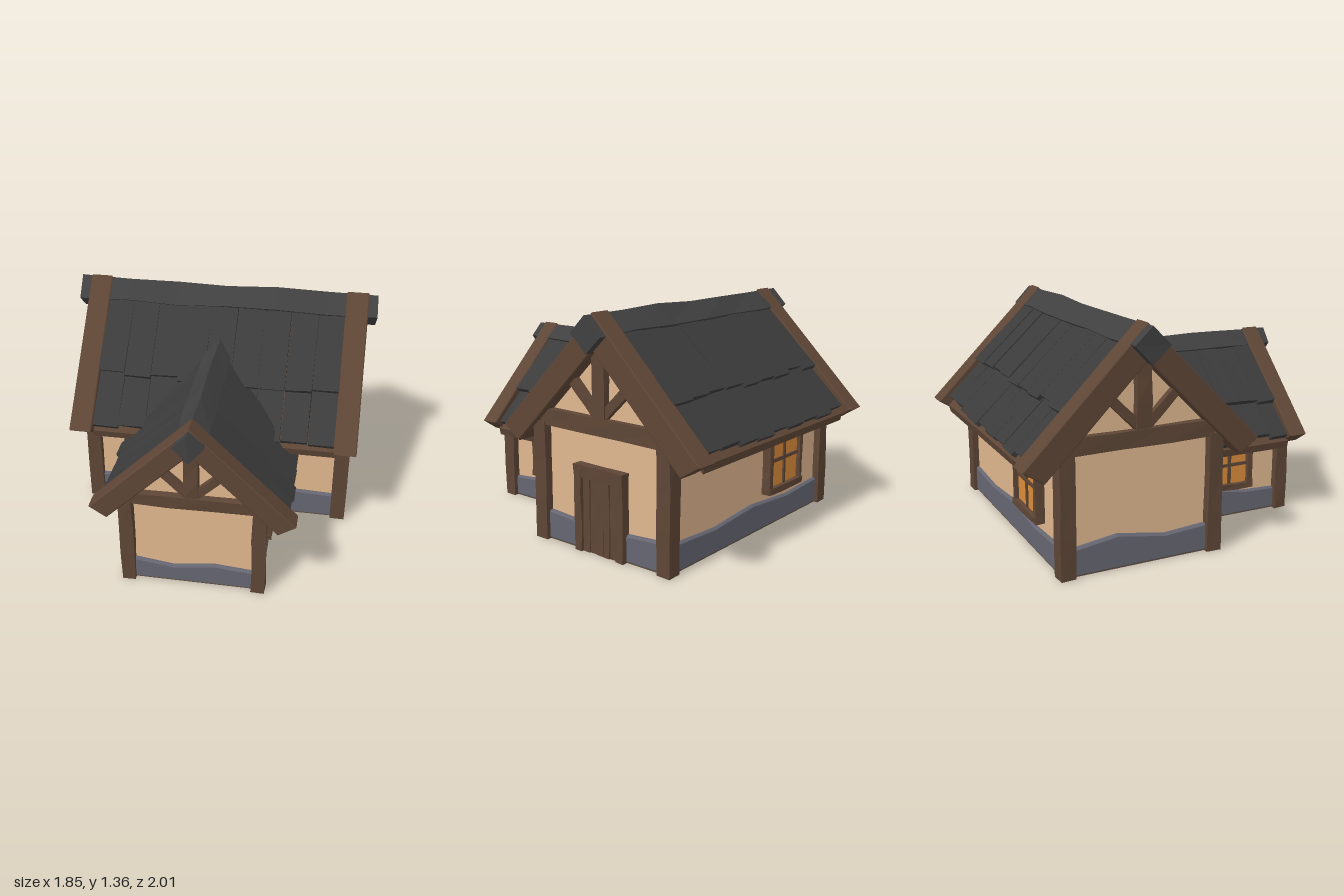
import * as THREE from 'three';

const mat = (color, side = THREE.FrontSide) => new THREE.MeshStandardMaterial({ color, flatShading: true, side });
const wood = mat(0x5e4636), plaster = mat(0xe0b78f), stone = mat(0x666672);
const slate = mat(0x3b3b3b), ridgeSlate = mat(0x404040), glass = mat(0xdc8c3a), earth = mat(0x635040);

let seed = 7;
const rand = () => { seed = (seed * 16807) % 2147483647; return seed / 2147483647 - 0.5; };

function add(parent, name, geometry, material, x = 0, y = 0, z = 0) {
  const mesh = new THREE.Mesh(geometry, material);
  mesh.name = name;
  mesh.position.set(x, y, z);
  parent.add(mesh);
  return mesh;
}

// Box with extra cuts along its longest side and slightly uneven corners
function hewn(w, h, d, rough = 0.008, cuts = 3) {
  const m = Math.max(w, h, d);
  const g = new THREE.BoxGeometry(w, h, d, w === m ? cuts : 1, h === m ? cuts : 1, d === m ? cuts : 1);
  const p = g.attributes.position, moved = new Map();
  for (let i = 0; i < p.count; i++) {
    const key = [p.getX(i), p.getY(i), p.getZ(i)].map(v => v.toFixed(3)).join();
    if (!moved.has(key)) moved.set(key, [rand() * rough, rand() * rough, rand() * rough]);
    const [a, b, c] = moved.get(key);
    // upright posts keep their foot on the ground
    const dy = h === m && p.getY(i) < -h / 2 + 1e-4 ? 0 : b;
    p.setXYZ(i, p.getX(i) + a, p.getY(i) + dy, p.getZ(i) + c);
  }
  g.computeVertexNormals();
  return g;
}

// Extruded outline, starting at z = 0
function slab(points, depth, bevel = 0) {
  const shape = new THREE.Shape(points.map(([x, y]) => new THREE.Vector2(x, y)));
  return new THREE.ExtrudeGeometry(shape, {
    depth: depth - 2 * bevel, bevelEnabled: bevel > 0, bevelSize: bevel, bevelThickness: bevel, bevelSegments: 1
  }).translate(0, 0, bevel);
}

// Inverted V with 45 degree sides; the lower ends are cut between the two half widths
const chevron = (apex, half, thick, innerHalf, depth, bevel) => slab([
  [0, apex], [-half, apex - half], [-innerHalf, apex - thick - innerHalf],
  [0, apex - thick], [innerHalf, apex - thick - innerHalf], [half, apex - half]
], depth, bevel);

// Timber gable end facing +z
function gableFrame(o) {
  const g = new THREE.Group();
  g.name = 'gableFrame';
  add(g, 'rafters', chevron(o.apex, o.half, o.thick, o.innerHalf, o.rafterDepth, 0.006), wood, 0, 0, o.z - 0.055);
  add(g, 'tieBeam', hewn(o.tieHalf * 2, o.tieH, o.w * 0.95), wood, 0, o.tieY + o.tieH / 2, o.z);
  const top = o.apex - o.thick + 0.04, base = o.tieY + o.tieH;
  add(g, 'kingPost', hewn(o.w, top - base, o.w * 0.85), wood, 0, (top + base) / 2, o.z);
  for (const s of [-1, 1]) {
    add(g, 'cornerPost', hewn(o.w, o.tieY + 0.02, o.w), wood, s * o.postX, (o.tieY + 0.02) / 2, o.z);
    const brace = add(g, 'brace', hewn(o.braceLen, o.w * 0.6, o.w * 0.7, 0.004), wood,
      s * o.braceLen * 0.42, base + o.braceLen * 0.38, o.z);
    brace.rotation.z = s * Math.PI / 4;
  }
  return g;
}

// Roof along z: deck, two courses of slates on each side, and a ridge
function roof(o) {
  const g = new THREE.Group();
  g.name = 'roof';
  add(g, 'roofDeck', chevron(o.apex - 0.085, o.eave - 0.02, 0.055, o.eave - 0.03, o.z1 - o.z0), wood, 0, 0, o.z0);
  const width = (o.z1 - o.z0) / o.columns;
  for (const s of [-1, 1]) for (let i = 0; i < o.columns; i++) {
    const z = o.z0 + (i + 0.5) * width;
    for (const [from, to, lift] of [[0.03, o.split, -0.02], [o.split - 0.04, o.eave, -0.042]]) {
      if (lift < -0.03 && z < (o.lowerFrom ?? -9)) continue;
      const a = from, b = to + rand() * 0.025, mid = (a + b) / 2;
      const off = (lift + rand() * 0.006) * Math.SQRT1_2;
      const tile = add(g, 'slate', hewn((b - a) * Math.SQRT2, 0.032, width * 0.985, 0.008, 1), slate,
        s * (mid + off), o.apex - mid + off, z);
      tile.rotation.z = -s * (Math.PI / 4 - 0.035);
    }
  }
  const ridge = add(g, 'ridge', hewn(o.ridge, o.ridge, o.ridgeTo - o.ridgeFrom, 0.014, 6), ridgeSlate,
    0, o.apex - o.ridge * Math.SQRT1_2, (o.ridgeFrom + o.ridgeTo) / 2);
  ridge.rotation.z = Math.PI / 4;
  return g;
}

// House-shaped plaster body along z
const body = (half, apex, depth) => slab([
  [-half, 0.005], [half, 0.005], [half, apex - half], [0, apex], [-half, apex - half]
], depth);

// Stone footing with a wavy, chamfered top, facing +z
function footing(length, heights) {
  const b = 0.012, n = heights.length - 1;
  const top = heights.map((h, i) => [length * (i / n - 0.5), h - b]).reverse();
  return slab([[-length / 2, b], [length / 2, b], ...top], 0.05, b);
}

// Four-pane window facing +z
function makeWindow(w, h) {
  const g = new THREE.Group(), t = 0.036;
  g.name = 'window';
  add(g, 'panes', new THREE.BoxGeometry(w - t, h - t, 0.03), glass);
  for (const s of [-1, 1]) {
    add(g, 'windowJamb', hewn(t, h, 0.08), wood, s * (w - t) / 2, 0, 0);
    add(g, 'windowRail', hewn(w, t, 0.085), wood, 0, s * (h - t) / 2, 0);
  }
  add(g, 'mullion', hewn(0.02, h - t, 0.05, 0.003), wood);
  add(g, 'crossBar', hewn(w - t, 0.02, 0.05, 0.003), wood);
  return g;
}

// Plank door facing +z
function makeDoor() {
  const g = new THREE.Group();
  g.name = 'door';
  for (const s of [-1, 1]) add(g, 'doorJamb', hewn(0.052, 0.5, 0.09), wood, s * 0.15, 0.25, 0);
  add(g, 'doorLintel', hewn(0.354, 0.07, 0.095), wood, 0, 0.473, 0);
  for (let i = -2; i <= 2; i++)
    add(g, 'doorPlank', hewn(0.046, 0.438, 0.06, 0.006), wood, i * 0.05, 0.219, (i % 2) * 0.006);
  return g;
}

export function createModel() {
  const model = new THREE.Group();
  model.name = 'cottage';
  const Q = Math.PI / 2;
  const place = (obj, x, y, z, turn = 0) => {
    obj.position.set(x, y, z);
    obj.rotation.y = turn;
    model.add(obj);
    return obj;
  };

  // Main block, its ridge running along x
  const main = new THREE.Group();
  main.name = 'mainBlock';
  add(main, 'mainWalls', body(0.455, 1.225, 1.56), plaster, 0, 0, -0.78);
  main.add(roof({ apex: 1.355, eave: 0.665, split: 0.44, z0: -0.738, z1: 0.738, columns: 9,
    ridge: 0.146, ridgeFrom: -0.92, ridgeTo: 0.92 }));
  for (const turn of [0, Math.PI]) {
    const end = gableFrame({ apex: 1.355, half: 0.7, thick: 0.185, innerHalf: 0.587, rafterDepth: 0.135, z: 0.785,
      tieHalf: 0.44, tieH: 0.095, tieY: 0.69, w: 0.09, postX: 0.45, braceLen: 0.27 });
    end.rotation.y = turn;
    main.add(end);
  }
  place(main, 0, 0, -0.295, Q);

  // Front wing
  const wing = new THREE.Group();
  wing.name = 'frontWing';
  add(wing, 'wingWalls', body(0.375, 0.98, 0.89), plaster);
  wing.add(roof({ apex: 1.11, eave: 0.555, split: 0.39, z0: 0.045, z1: 0.855, columns: 6, lowerFrom: 0.2,
    ridge: 0.12, ridgeFrom: -0.1, ridgeTo: 1 }));
  wing.add(gableFrame({ apex: 1.11, half: 0.575, thick: 0.15, innerHalf: 0.485, rafterDepth: 0.115, z: 0.895,
    tieHalf: 0.4, tieH: 0.075, tieY: 0.57, w: 0.08, postX: 0.38, braceLen: 0.23 }));
  place(wing, -0.015, 0, 0);

  // Stone footings: [length, top heights, x, z, turn]
  for (const [len, heights, x, z, turn] of [
    [0.72, [0.15, 0.115, 0.15, 0.13], -0.015, 0.86, 0],
    [0.74, [0.13, 0.15, 0.19, 0.18], 0.33, 0.51, Q],
    [0.74, [0.18, 0.19, 0.15, 0.14], -0.36, 0.51, -Q],
    [1.54, [0.17, 0.19, 0.19, 0.17], 0, 0.13, 0],
    [0.88, [0.18, 0.15, 0.18], 0.755, -0.295, Q],
    [0.88, [0.16, 0.2, 0.15, 0.17], -0.755, -0.295, -Q],
    [1.54, [0.17, 0.15, 0.18, 0.15, 0.17], 0, -0.72, Math.PI]
  ]) {
    const mesh = new THREE.Mesh(footing(len, heights), stone);
    mesh.name = 'footing';
    place(mesh, x, 0, z, turn);
  }

  // Floors
  add(model, 'mainFloor', new THREE.BoxGeometry(1.6, 0.01, 0.94), earth, 0, 0.005, -0.295);
  add(model, 'wingFloor', new THREE.BoxGeometry(0.78, 0.01, 0.8), earth, -0.015, 0.005, 0.505);

  // Openings
  place(makeDoor(), 0.79, 0, -0.295, Q);
  place(makeWindow(0.32, 0.32), 0.37, 0.34, 0.51, Q);
  place(makeWindow(0.32, 0.32), -0.4, 0.34, 0.51, -Q);
  place(makeWindow(0.38, 0.4), -0.31, 0.41, -0.765, Math.PI);
  return model;
}
